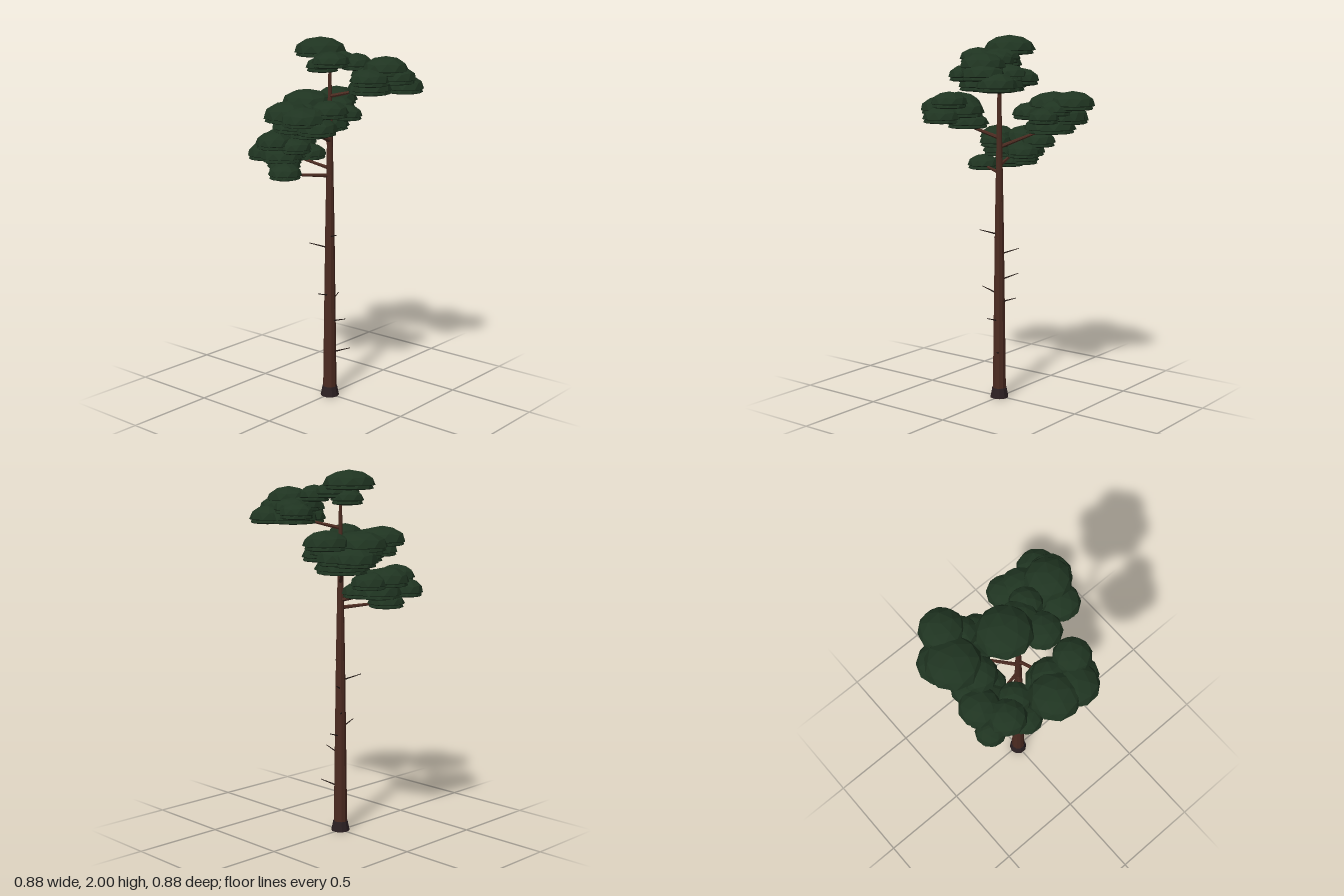
import * as THREE from 'three';

const material = (name, color) => {
  const m = new THREE.MeshStandardMaterial({ color });
  m.name = name;
  return m;
};

// Faceted look: unshared vertices with face normals
function faceted(geo) {
  const g = geo.index ? geo.toNonIndexed() : geo;
  g.computeVertexNormals();
  return g;
}

// Needle pad: faceted dome with a ten-sided rim and an almost flat underside
function padGeometry(r, h, yaw) {
  const g = new THREE.IcosahedronGeometry(1, 1);
  g.rotateX(-Math.atan((1 + Math.sqrt(5)) / 2)); // stand it on a corner so the rim is level
  g.rotateY(yaw);
  const p = g.attributes.position;
  for (let i = 0; i < p.count; i++) {
    const y = p.getY(i);
    p.setXYZ(i, p.getX(i) * r, y > 0 ? y * h : y * 0.01, p.getZ(i) * r);
  }
  return faceted(g);
}

// Tapered limb between two points
function limb(from, to, r0, r1, sides, mat, name) {
  const a = new THREE.Vector3(...from), b = new THREE.Vector3(...to);
  const d = b.clone().sub(a);
  const mesh = new THREE.Mesh(faceted(new THREE.CylinderGeometry(r1, r0, d.length(), sides)), mat);
  mesh.position.copy(a).addScaledVector(d, 0.5);
  mesh.quaternion.setFromUnitVectors(new THREE.Vector3(0, 1, 0), d.normalize());
  mesh.name = name;
  return mesh;
}

// Pads: x, rim height, z, radius, dome height
const CLUSTERS = {
  crownTop: [
    [0.01, 1.92, -0.072, 0.142, 0.08], [-0.085, 1.875, 0.08, 0.102, 0.06],
    [0.0, 1.84, -0.05, 0.09, 0.06], [0.03, 1.875, 0.03, 0.105, 0.06],
  ],
  frontBough: [
    [0.11, 1.835, 0.29, 0.122, 0.075], [0.14, 1.79, 0.328, 0.115, 0.07],
    [0.0, 1.785, 0.27, 0.106, 0.065], [0.225, 1.735, 0.325, 0.108, 0.075],
    [0.22, 1.765, 0.11, 0.095, 0.065], [0.08, 1.855, 0.12, 0.087, 0.065],
    [0.16, 1.735, 0.2, 0.13, 0.08], [0.05, 1.735, 0.23, 0.12, 0.07],
    [0.19, 1.79, 0.18, 0.1, 0.06], [0.1, 1.8, 0.19, 0.1, 0.06],
  ],
  rightBough: [
    [-0.21, 1.635, 0.175, 0.102, 0.065], [-0.305, 1.605, -0.02, 0.133, 0.085],
    [-0.325, 1.595, 0.1, 0.12, 0.075], [-0.21, 1.58, 0.04, 0.108, 0.08],
    [-0.28, 1.55, 0.155, 0.108, 0.07], [-0.2, 1.52, 0.03, 0.12, 0.06],
    [-0.27, 1.55, -0.01, 0.12, 0.06],
  ],
  leftBough: [
    [0.322, 1.625, -0.22, 0.122, 0.078], [0.15, 1.615, -0.29, 0.147, 0.08],
    [0.22, 1.54, -0.32, 0.123, 0.085], [0.235, 1.555, -0.07, 0.086, 0.06],
    [0.25, 1.545, -0.24, 0.122, 0.08], [0.19, 1.495, -0.2, 0.145, 0.08],
    [0.04, 1.565, -0.22, 0.1, 0.07], [0.26, 1.595, -0.15, 0.09, 0.06],
  ],
  backBough: [
    [-0.055, 1.42, -0.3, 0.112, 0.08], [-0.175, 1.36, -0.33, 0.082, 0.07],
    [-0.19, 1.43, -0.23, 0.103, 0.07], [0.06, 1.41, -0.27, 0.1, 0.07],
    [-0.03, 1.355, -0.25, 0.13, 0.08], [-0.14, 1.355, -0.22, 0.12, 0.07],
    [-0.215, 1.28, -0.13, 0.092, 0.06], [-0.06, 1.305, -0.28, 0.1, 0.06],
    [-0.13, 1.41, -0.13, 0.09, 0.06], [-0.11, 1.295, -0.23, 0.09, 0.06],
    [0.03, 1.355, -0.17, 0.095, 0.06],
  ],
};

// Each pad has a slightly smaller skirt beneath it: drop, scale
const LAYERS = [[0, 1], [0.018, 0.93]];

// Boughs: points from the trunk outwards
const BOUGHS = [
  [[0, 1.26, 0], [-0.2, 1.28, -0.12]],
  [[0, 1.3, 0], [-0.06, 1.36, -0.24]],
  [[0, 1.4, 0], [0.18, 1.5, -0.2]],
  [[0, 1.45, 0], [-0.23, 1.53, 0.06]],
  [[0, 1.69, 0], [0.13, 1.745, 0.23]],
];

// Dead twigs: tip positions
const TWIGS = [
  [-0.06, 0.955, 0.1], [-0.09, 0.89, -0.07], [0.09, 0.845, -0.06], [0.07, 0.7, -0.08],
  [-0.11, 0.62, 0.01], [0.1, 0.575, -0.02], [0, 0.47, 0.11], [0.055, 0.285, 0.1],
];

export function createModel() {
  const bark = material('red brown bark', 0x4c2b21);
  const base = material('dark root bark', 0x2b2022);
  const dead = material('dead wood', 0x251b17);
  const needles = material('dark green needles', 0x1f3421);

  const tree = new THREE.Group();
  tree.name = 'pineTree';

  const wood = new THREE.Group();
  wood.name = 'wood';
  wood.position.set(-0.002, 0, 0.004);
  tree.add(wood);

  // Root flare and trunk in tapering sections
  wood.add(limb([0, 0, 0], [0, 0.055, 0], 0.052, 0.041, 10, base, 'rootFlare'));
  const trunk = [[0.05, 0.038], [0.5, 0.032], [1.0, 0.025], [1.4, 0.017], [1.7, 0.011], [1.93, 0.006]];
  for (let i = 1; i < trunk.length; i++) {
    const [y0, r0] = trunk[i - 1], [y1, r1] = trunk[i];
    wood.add(limb([0, y0, 0], [0, y1, 0], r0, r1, 10, bark, 'trunkSection' + i));
  }

  BOUGHS.forEach(([a, b], i) => wood.add(limb(a, b, 0.011, 0.006, 6, bark, 'bough' + (i + 1))));

  // Dead twigs start a little below their tips
  TWIGS.forEach(([x, y, z], i) =>
    wood.add(limb([0, y - 0.035, 0], [x, y, z], 0.005, 0.002, 5, dead, 'deadTwig' + (i + 1))));

  // Foliage clusters
  let n = 0;
  for (const [name, pads] of Object.entries(CLUSTERS)) {
    const cluster = new THREE.Group();
    cluster.name = name;
    pads.forEach(([x, y, z, r, h], i) => {
      const pad = new THREE.Group();
      pad.name = 'needlePad' + (i + 1);
      pad.position.set(x, y, z);
      LAYERS.forEach(([drop, scale], layer) => {
        const dome = new THREE.Mesh(padGeometry(r * scale, h * scale, n++ * 1.7), needles);
        dome.position.y = -drop;
        dome.name = layer ? 'padSkirt' : 'padDome';
        pad.add(dome);
      });
      cluster.add(pad);
    });
    tree.add(cluster);
  }
  return tree;
}
